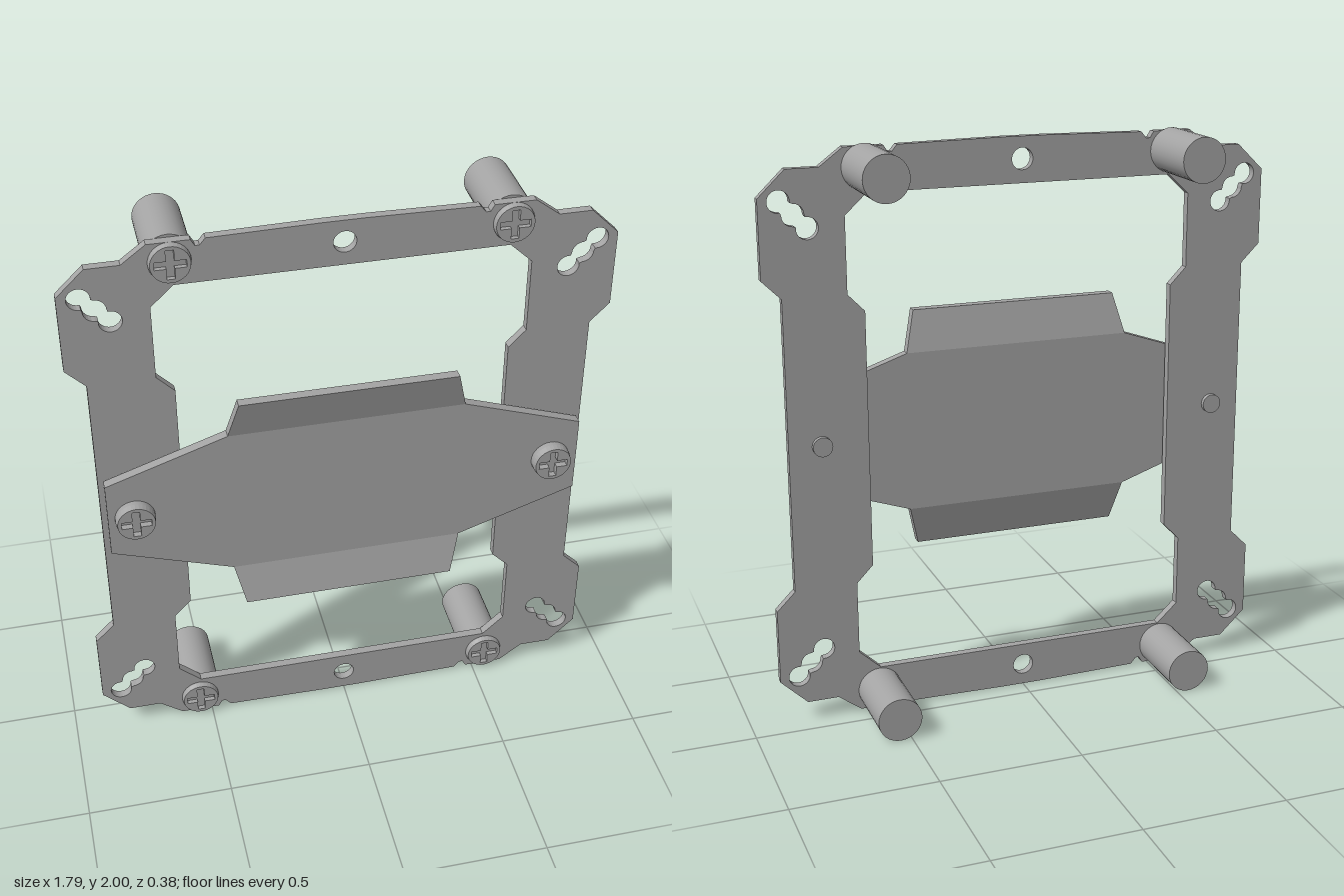
import * as THREE from 'three';

const MID = 1.0; // height of the horizontal mirror line
const steel = new THREE.MeshStandardMaterial({ color: 0xa3a3a3 });
steel.name = 'grey steel';

const vec = (pts) => pts.map(([x, y]) => new THREE.Vector2(x, y));

// Mirror one quarter of an outline (upper right, clockwise) into a closed loop
function mirrorQuarter(q) {
  const flip = (sx, sy) => q.map(([x, y]) => [x * sx, MID + (y - MID) * sy]);
  return vec([...q, ...flip(1, -1).reverse(), ...flip(-1, -1), ...flip(-1, 1).reverse()]);
}

function circle(x, y, r, n = 32) {
  return vec(Array.from({ length: n }, (_, i) => {
    const a = (i / n) * Math.PI * 2;
    return [x + r * Math.cos(a), y + r * Math.sin(a)];
  }));
}

// Three overlapping circles in a diagonal row, as one outline
function tripleSlot(cx, cy, angle) {
  const r = 0.037, step = 0.064, n = 36, end = step + r, side = [];
  for (let i = 0; i <= n; i++) {
    const s = -end * Math.cos((i / n) * Math.PI);
    const c = Math.max(-1, Math.min(1, Math.round(s / step))) * step;
    side.push([s, Math.sqrt(Math.max(0, r * r - (s - c) ** 2))]);
  }
  const back = side.slice(1, -1).reverse().map(([s, w]) => [s, -w]);
  const ca = Math.cos(angle), sa = Math.sin(angle);
  return vec([...side, ...back].map(([s, w]) => [cx + s * ca - w * sa, cy + s * sa + w * ca]));
}

// Loop in the wanted turning direction, so that all walls face outwards
const turned = (loop, clockwise) =>
  (THREE.ShapeUtils.isClockWise(loop) === clockwise ? loop : [...loop].reverse());

// Flat plate from an outline with holes, lying between two z values
function plate(outline, holes, z0, z1) {
  const shape = new THREE.Shape(turned(outline, false));
  holes.forEach((h) => shape.holes.push(new THREE.Path(turned(h, true))));
  const geo = new THREE.ExtrudeGeometry(shape, { depth: z1 - z0, bevelEnabled: false });
  return geo.translate(0, 0, z0);
}

// Cylinder along z
function rod(r, z0, z1, x, y) {
  return new THREE.CylinderGeometry(r, r, z1 - z0, 32)
    .rotateX(Math.PI / 2).translate(x, y, (z0 + z1) / 2);
}

function add(group, name, geo) {
  const mesh = new THREE.Mesh(geo, steel);
  mesh.name = name;
  group.add(mesh);
}

// Round screw head with a tapered rim and a recessed cross
function screwHead(group, x, y, r, z0, z1, recess) {
  const a = 0.05, b = 0.013;
  const cross = vec([[a, b], [b, b], [b, a], [-b, a], [-b, b], [-a, b],
    [-a, -b], [-b, -b], [-b, -a], [b, -a], [b, -b], [a, -b]]);
  const top = plate(circle(0, 0, r), [cross], z1 - recess, z1);
  const p = top.attributes.position;
  for (let i = 0; i < p.count; i++) {
    const rim = Math.hypot(p.getX(i), p.getY(i)) > r * 0.95;
    if (rim && p.getZ(i) > z1 - recess / 2) p.setXY(i, p.getX(i) * 0.94, p.getY(i) * 0.94);
  }
  top.computeVertexNormals();
  add(group, 'screwHeadTop', top.translate(x, y, 0));
  add(group, 'screwHeadBase', rod(r, z0, z1 - recess, x, y));
}

export function createModel() {
  const model = new THREE.Group();
  model.name = 'mountingBracket';

  // Frame plate with a large opening, bolt holes and corner slots
  const outer = mirrorQuarter([[0.07, 1.996], [0.43, 1.99], [0.448, 1.968], [0.462, 1.968],
    [0.475, 1.99], [0.61, 1.99], [0.69, 1.93], [0.8, 1.93], [0.893, 1.84], [0.893, 1.575],
    [0.828, 1.51]]);
  const opening = mirrorQuarter([[0.535, 1.84], [0.61, 1.77], [0.61, 1.51], [0.552, 1.45]]);
  const holes = [opening, circle(0, 1.921, 0.037), circle(0, 0.081, 0.037)];
  for (const sx of [-1, 1]) for (const sy of [-1, 1]) {
    holes.push(tripleSlot(0.78 * sx, MID + 0.782 * sy, (sx * sy * Math.PI) / 4));
  }
  add(model, 'frame', plate(outer, holes, 0.07, 0.1));

  // Crossbar with a flared flange above and below
  const bar = new THREE.Group();
  bar.name = 'crossbar';
  bar.position.y = MID;
  model.add(bar);
  add(bar, 'crossbarPlate', plate(vec([[0.4, 0.28], [0.81, 0.14], [0.81, -0.14], [0.4, -0.28],
    [-0.4, -0.28], [-0.81, -0.14], [-0.81, 0.14], [-0.4, 0.28]]), [], 0.115, 0.15));
  for (const s of [1, -1]) {
    const geo = plate(vec([[-0.4, 0.28 * s], [0.4, 0.28 * s], [0.365, 0.42 * s], [-0.365, 0.42 * s]]),
      [], 0.115, 0.15);
    const p = geo.attributes.position;
    for (let i = 0; i < p.count; i++) p.setZ(i, p.getZ(i) + (Math.abs(p.getY(i)) - 0.28) * 0.25);
    geo.computeVertexNormals();
    add(bar, s > 0 ? 'upperFlange' : 'lowerFlange', geo);
  }

  // Screws holding the crossbar, ending behind the frame
  for (const x of [-0.72, 0.715]) {
    const screw = new THREE.Group();
    screw.name = 'crossbarScrew';
    screwHead(screw, x, 1.002, 0.067, 0.15, 0.19, 0.022);
    add(screw, 'screwShaft', rod(0.03, 0.06, 0.15, x, 1.002));
    add(screw, 'screwTip', rod(0.034, 0.05, 0.066, x, 1.002));
    model.add(screw);
  }

  // Rear standoffs with their front screws
  for (const x of [-0.542, 0.54]) for (const y of [1.923, 0.079]) {
    const post = new THREE.Group();
    post.name = 'standoff';
    add(post, 'standoffPost', rod(0.077, -0.19, 0.07, x, y));
    screwHead(post, x, y, 0.067, 0.099, 0.121, 0.016);
    model.add(post);
  }
  return model;
}
